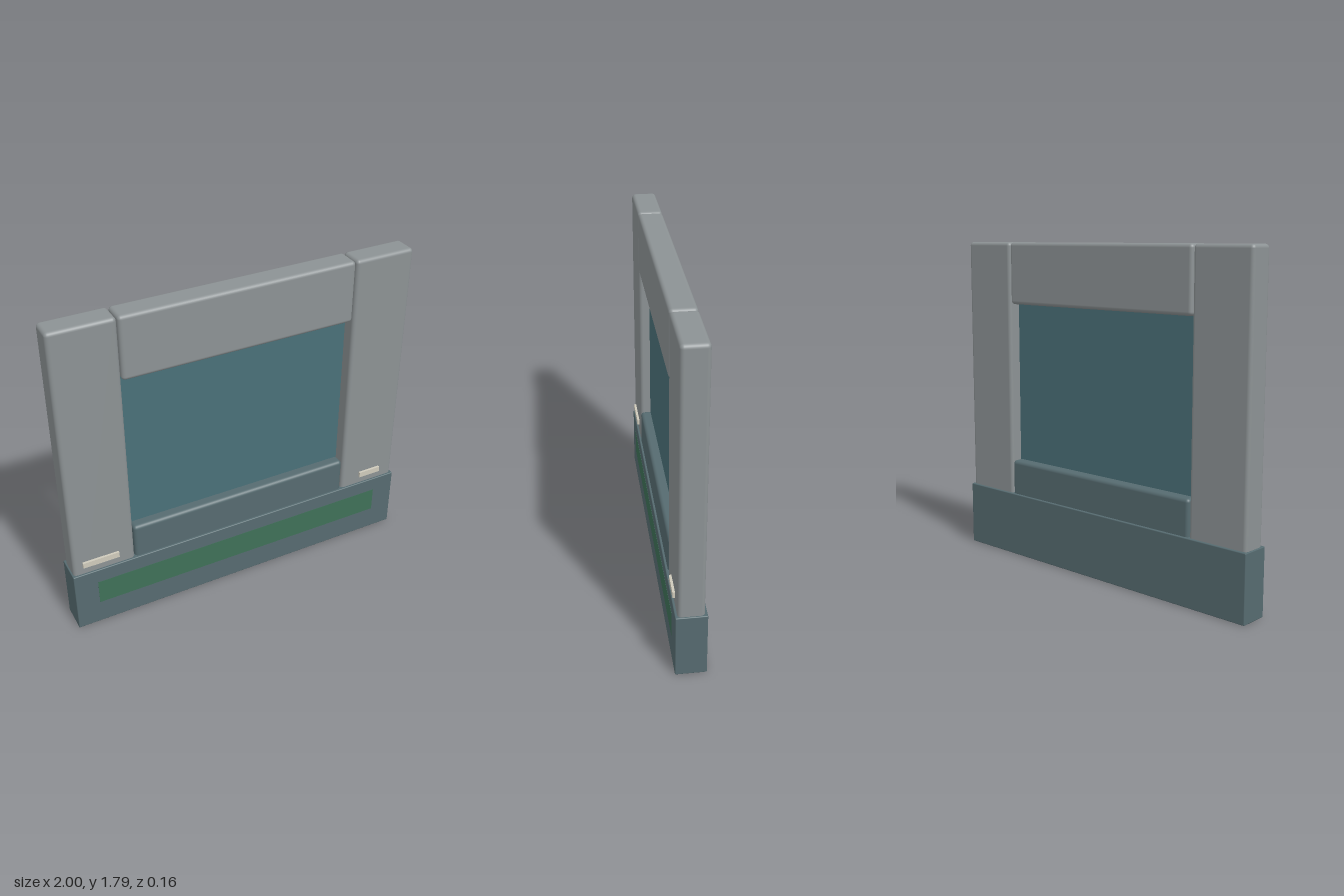
import * as THREE from 'three';
import { RoundedBoxGeometry } from 'three/addons/geometries/RoundedBoxGeometry.js';

const frameGrey = new THREE.MeshStandardMaterial({ color: 0x8c9294 });
const slate = new THREE.MeshStandardMaterial({ color: 0x566b70 });
const teal = new THREE.MeshStandardMaterial({ color: 0x4a7078 });
const green = new THREE.MeshStandardMaterial({ color: 0x3f7058 });
const cream = new THREE.MeshStandardMaterial({ color: 0xcfcabb });

export function createModel() {
  const group = new THREE.Group();

  // Box given by its extents; a radius rounds its edges
  function addBox(name, [x0, x1], [y0, y1], [z0, z1], material, radius = 0) {
    const size = [x1 - x0, y1 - y0, z1 - z0];
    const geometry = radius
      ? new RoundedBoxGeometry(...size, 3, radius)
      : new THREE.BoxGeometry(...size);
    const mesh = new THREE.Mesh(geometry, material);
    mesh.name = name;
    mesh.position.set((x0 + x1) / 2, (y0 + y1) / 2, (z0 + z1) / 2);
    group.add(mesh);
  }

  const depth = [-0.067, 0.067];

  // Base plinth with an inset coloured band on its front
  addBox('plinth', [-1, 1], [0, 0.36], [-0.08, 0.079], slate, 0.005);
  addBox('frontBand', [-0.87, 0.87], [0.135, 0.278], [0.07, 0.08], green);

  // Upright stiles
  addBox('leftStile', [0.648, 0.992], [0.02, 1.795], depth, frameGrey, 0.02);
  addBox('rightStile', [-0.992, -0.648], [0.02, 1.795], depth, frameGrey, 0.02);

  // Horizontal rails
  addBox('topRail', [-0.643, 0.643], [1.452, 1.795], depth, frameGrey, 0.02);
  addBox('bottomRail', [-0.643, 0.643], [0.21, 0.555], depth, slate, 0.02);

  // Thin recessed panel, held between the rails
  addBox('panel', [-0.635, 0.635], [0.53, 1.48], [-0.01, 0.01], teal);

  // Small plates at the foot of the stiles
  addBox('rightPlate', [-0.94, -0.738], [0.405, 0.437], [0.06, 0.08], cream);
  addBox('leftPlate', [0.765, 0.9], [0.405, 0.437], [0.06, 0.08], cream);

  return group;
}
